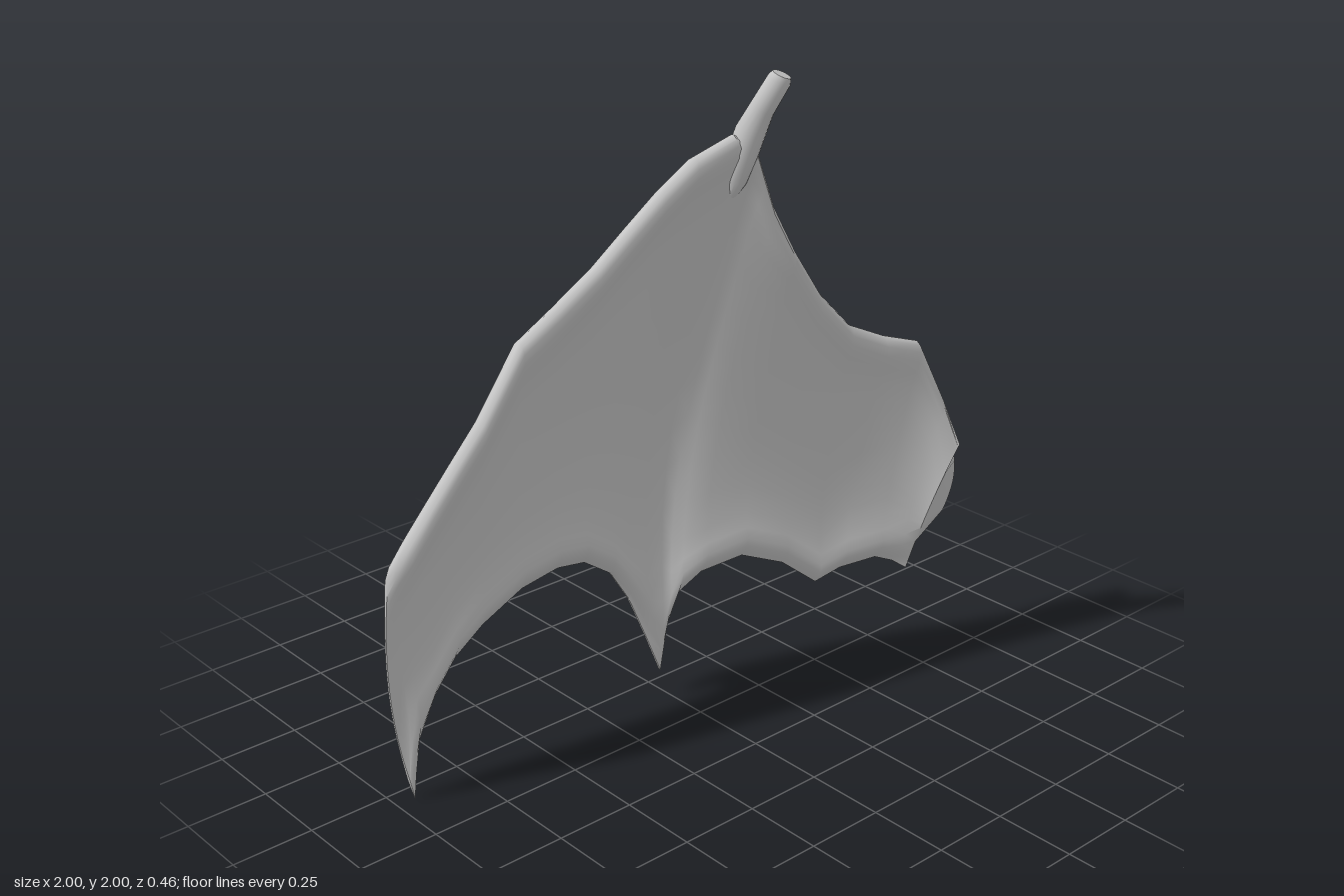
import * as THREE from 'three';
import { toCreasedNormals } from 'three/addons/utils/BufferGeometryUtils.js';

// Ribs from the outer tip to the open end:
// top x,y,z, bottom x,y,z, depth of the bow, thickness, length of the taper at the foot
const leftRibs = [
  [-0.995, 0.74, -0.18, -0.94, 0.0, -0.19, -0.02, 0.2, 1],
  [-0.98, 0.77, -0.175, -0.932, 0.08, -0.19, -0.02, 0.7, 2],
  [-0.93, 0.83, -0.17, -0.915, 0.18, -0.195, -0.02, 1, 1.5],
  [-0.86, 0.92, -0.16, -0.85, 0.3, -0.2, -0.02, 1, 1],
  [-0.78, 1.02, -0.15, -0.77, 0.4, -0.2, -0.02, 1, 1],
  [-0.69, 1.13, -0.14, -0.67, 0.47, -0.2, -0.02, 1, 1],
  [-0.56, 1.33, -0.125, -0.53, 0.54, -0.195, -0.02, 1, 1],
  [-0.44, 1.41, -0.11, -0.4, 0.565, -0.19, -0.025, 1, 1],
  [-0.31, 1.5, -0.095, -0.3, 0.55, -0.19, -0.03, 1, 1],
  [-0.2, 1.6, -0.075, -0.2, 0.48, -0.19, -0.035, 1, 1],
  [-0.1, 1.69, -0.055, -0.13, 0.37, -0.19, -0.05, 1, 1.2],
  [0.0, 1.77, -0.03, -0.07, 0.22, -0.18, -0.08, 1, 2],
];
const rightRibs = [
  [0.12, 1.82, 0.0, -0.03, 0.095, -0.16, -0.11, 1, 3.5],
  [0.19, 1.78, 0.01, 0.0, 0.22, -0.17, -0.085, 1, 2],
  [0.22, 1.7, 0.01, 0.04, 0.34, -0.16, -0.065, 1, 1.2],
  [0.25, 1.6, 0.02, 0.12, 0.4, -0.135, -0.05, 1, 1],
  [0.33, 1.45, 0.03, 0.25, 0.43, -0.09, -0.04, 1, 1],
  [0.42, 1.3, 0.05, 0.38, 0.38, -0.04, -0.035, 1, 1],
  [0.54, 1.17, 0.07, 0.49, 0.29, 0.0, -0.03, 1, 1],
  [0.67, 1.11, 0.095, 0.57, 0.325, 0.03, -0.02, 1, 1],
  [0.795, 1.07, 0.12, 0.68, 0.345, 0.08, -0.01, 1, 1],
  [0.88, 0.87, 0.155, 0.74, 0.32, 0.1, 0, 1, 1],
  [0.905, 0.72, 0.225, 0.78, 0.29, 0.13, 0, 1, 1],
];

// Joins rings of equal length into a skin; ends are closed across each ring
function loft(rings) {
  const n = rings[0].length, index = [];
  for (let i = 0; i < rings.length - 1; i++) {
    for (let j = 0; j < n; j++) {
      const a = i * n + j, b = i * n + (j + 1) % n;
      index.push(a, b, a + n, b, b + n, a + n);
    }
  }
  const last = (rings.length - 1) * n;
  for (let j = 0; j < n / 2 - 1; j++) {
    const k = n - 1 - j;
    index.push(j, k, j + 1, j + 1, k, k - 1);
    index.push(last + j, last + j + 1, last + k, last + j + 1, last + k - 1, last + k);
  }
  const geometry = new THREE.BufferGeometry();
  geometry.setAttribute('position', new THREE.Float32BufferAttribute(
    rings.flat().flatMap((p) => [p.x, p.y, p.z]), 3));
  geometry.setIndex(index);
  return toCreasedNormals(geometry, 0.8);
}

// Closed section of one rib: down the front, then up the back, with a thick rounded rim
const rimSteps = [[0, 0.004], [0.01, 0.02], [0.03, 0.031], [0.06, 0.033], [0.1, 0.026], [0.15, 0.019]];
const footSteps = [[0.15, 0.02], [0.1, 0.026], [0.065, 0.032], [0.04, 0.028], [0.018, 0.016], [0, 0.004]];
function ribSection([tx, ty, tz, bx, by, bz, bow, thick, taper], end) {
  const length = Math.hypot(tx - bx, ty - by);
  const steps = rimSteps.map(([d, h]) => [d / length, h]);
  const foot = footSteps.map(([d, h]) => [1 - d * taper / length, h]);
  const from = steps[5][0], to = foot[0][0];
  for (let k = 1; k < 8; k++) steps.push([from + (to - from) * k / 8, 0.018]);
  steps.push(...foot);
  const point = ([t, h], side) => {
    const arch = 4 * t * (1 - t);
    const p = new THREE.Vector3(
      tx + (bx - tx) * t, ty + (by - ty) * t,
      tz + (bz - tz) * t + bow * Math.sin(Math.PI * t ** 1.3));
    if (end === 'tip') p.x -= 0.028 * arch;
    if (end !== 'open') {
      p.z += side * h * thick;
      return p;
    }
    // At the open end the back runs past the front and leaves a slanted face
    p.x -= 0.015 * arch;
    if (side < 0) {
      p.x += 0.05 * (1 - t) + arch * (0.125 - 0.09 * THREE.MathUtils.smoothstep(t, 0.62, 0.78));
      p.y -= 0.02 * (1 - t);
      p.z -= 0.085 * (1 - t) + 0.004;
    }
    return p;
  };
  return [...steps.map((s) => point(s, 1)), ...steps.reverse().map((s) => point(s, -1))];
}

// Flared stalk that sinks into the top of the wing: x, y, z, radius
function stalkGeometry() {
  const path = [
    [0.13, 1.6, -0.04, 0.008], [0.145, 1.68, -0.015, 0.034], [0.16, 1.76, 0.0, 0.045],
    [0.177, 1.82, 0.012, 0.045], [0.195, 1.89, 0.04, 0.037], [0.223, 1.975, 0.08, 0.035],
    [0.227, 1.99, 0.085, 0.028],
  ];
  const sides = 16, up = new THREE.Vector3(0, 1, 0);
  const rings = path.map(([x, y, z, r], i) => {
    const a = path[Math.max(0, i - 1)], b = path[Math.min(path.length - 1, i + 1)];
    const along = new THREE.Vector3(b[0] - a[0], b[1] - a[1], b[2] - a[2]).normalize();
    const turn = new THREE.Quaternion().setFromUnitVectors(up, along);
    return Array.from({ length: sides }, (_, j) => {
      const angle = -j / sides * Math.PI * 2;
      return new THREE.Vector3(Math.cos(angle) * r, 0, Math.sin(angle) * r)
        .applyQuaternion(turn).add(new THREE.Vector3(x, y, z));
    });
  });
  return loft(rings.reverse());
}

export function createModel() {
  const group = new THREE.Group();
  group.name = 'wing';
  const grey = new THREE.MeshStandardMaterial({ name: 'grey', color: 0xc4c4c4, side: THREE.DoubleSide });
  const add = (name, geometry) => {
    const mesh = new THREE.Mesh(geometry, grey);
    mesh.name = name;
    group.add(mesh);
  };

  const ribs = [...leftRibs, ...rightRibs];
  add('wingMembrane', loft(ribs.map((rib, i) =>
    ribSection(rib, i === 0 ? 'tip' : i === ribs.length - 1 ? 'open' : ''))));
  add('shoulderStalk', stalkGeometry());
  return group;
}
